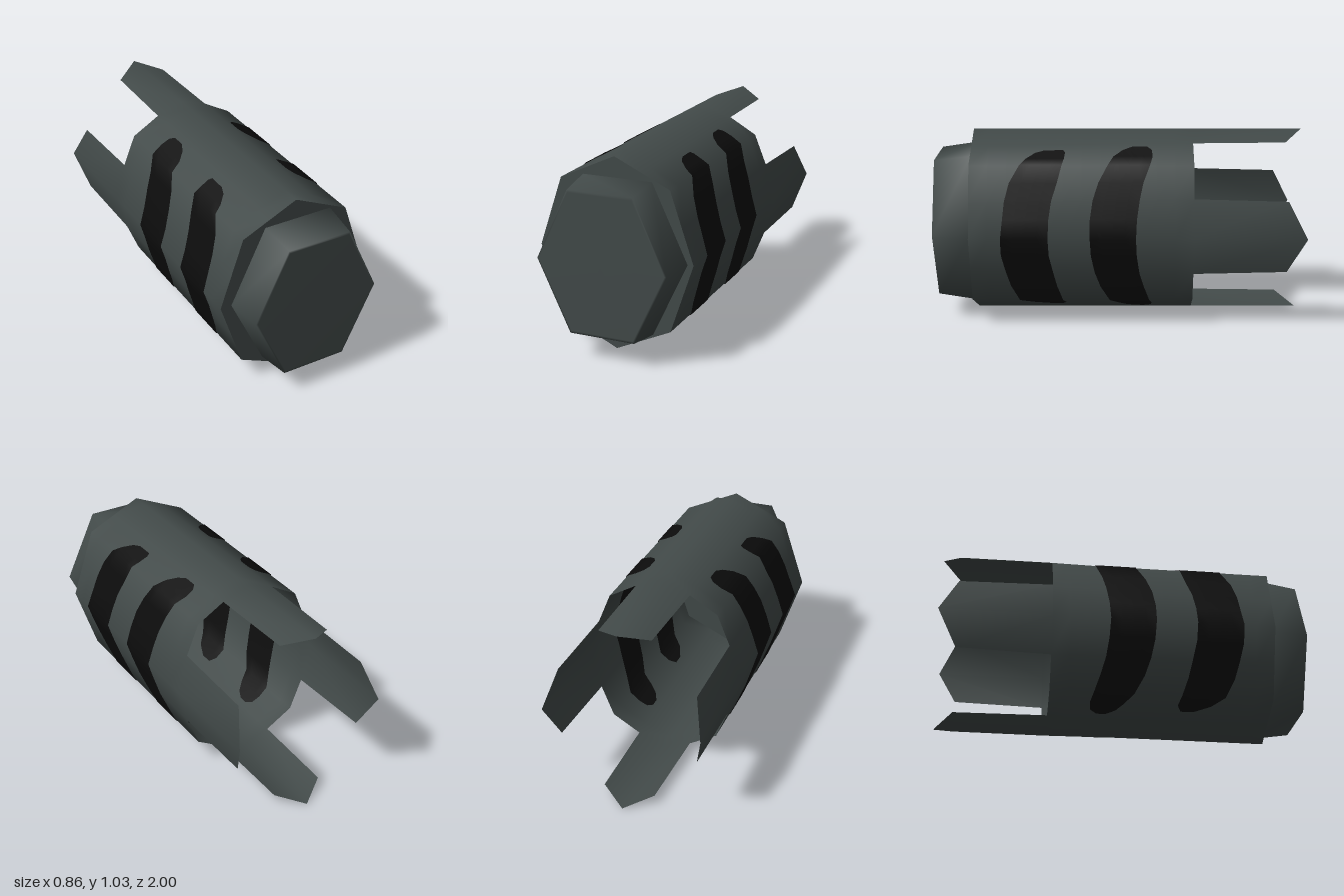
import * as THREE from 'three';
import { mergeGeometries, mergeVertices } from 'three/addons/utils/BufferGeometryUtils.js';

const CY = 0.515; // height of the long axis

// One quarter of the hull section; odd points bulge out slightly toward the rear
const QUARTER = [[0, 0.515], [0.15, 0.463], [0.302, 0.375], [0.37, 0.207], [0.428, 0]];

function corner(k) {
  k = ((k % 16) + 16) % 16;
  if (k <= 4) return [...QUARTER[k]];
  if (k <= 8) { const [x, y] = QUARTER[8 - k]; return [x, -y]; }
  const [x, y] = corner(16 - k);
  return [-x, y];
}

// Section point k at depth z: a plain octagon in front, sixteen sides at the rear
function sectionPoint(k, z) {
  const p = corner(k);
  if (k % 2 === 0) return p;
  const a = corner(k - 1), b = corner(k + 1);
  const t = THREE.MathUtils.clamp((0.8 - z) / 1.2, 0, 1);
  return p.map((v, i) => THREE.MathUtils.lerp((a[i] + b[i]) / 2, v, t));
}

// Point on the hull at section parameter s, scaled about the axis
function hullPoint(s, z, scale = 1) {
  const k = Math.floor(s), a = sectionPoint(k, z), b = sectionPoint(k + 1, z);
  const [x, y] = a.map((v, i) => THREE.MathUtils.lerp(v, b[i], s - k) * scale);
  return [x, CY + y, z];
}

// Indexed surface through rows of points
function surface(rows, closed = false) {
  const n = rows[0].length, index = [];
  for (let j = 0; j < rows.length - 1; j++) {
    for (let i = 0; i < (closed ? n : n - 1); i++) {
      const a = j * n + i, b = j * n + (i + 1) % n;
      index.push(a, b, a + n, b, b + n, a + n);
    }
  }
  const geo = new THREE.BufferGeometry();
  geo.setAttribute('position', new THREE.Float32BufferAttribute(rows.flat(2), 3));
  geo.setIndex(index);
  geo.computeVertexNormals();
  return geo;
}

// Each row: section parameter, front z, back z
const STRIPES = [
  [[1.28, 0.4, 0.3], [1.4, 0.45, 0.29], [1.7, 0.5, 0.295], [2, 0.53, 0.305], [2.5, 0.585, 0.33],
    [3, 0.61, 0.36], [3.5, 0.62, 0.375], [4, 0.63, 0.378], [4.5, 0.63, 0.375], [5, 0.61, 0.355],
    [5.5, 0.585, 0.335], [6, 0.54, 0.305], [6.4, 0.47, 0.29], [6.65, 0.38, 0.31]],
  [[1.15, -0.07, -0.15], [1.3, -0.02, -0.175], [1.6, 0.03, -0.18], [2, 0.06, -0.165], [2.5, 0.11, -0.13],
    [3, 0.14, -0.11], [3.5, 0.155, -0.095], [4, 0.155, -0.09], [4.5, 0.15, -0.095], [5, 0.13, -0.11],
    [5.5, 0.1, -0.135], [6, 0.05, -0.165], [6.4, 0.005, -0.18], [6.7, -0.04, -0.175], [6.85, -0.09, -0.14]],
];

function stripeGeometry(stripe, side, scale) {
  return surface(stripe.map(([s, front, back]) => {
    const row = [];
    for (let i = 0; i <= 4; i++) {
      const [x, y, z] = hullPoint(s, THREE.MathUtils.lerp(back, front, i / 4), scale);
      row.push([x * side, y, z]);
    }
    return side > 0 ? row : row.reverse();
  }));
}

export function createModel() {
  const group = new THREE.Group();
  const grey = new THREE.MeshStandardMaterial({ color: 0x424a49, side: THREE.DoubleSide });
  grey.name = 'dark grey';
  const black = new THREE.MeshStandardMaterial({ color: 0x0c0c0c, side: THREE.DoubleSide });
  black.name = 'black';
  const add = (name, geo, mat) => {
    const mesh = new THREE.Mesh(geo, mat);
    mesh.name = name;
    group.add(mesh);
  };

  // Open tube
  const rings = [];
  for (let j = 0; j <= 12; j++) {
    const ring = [];
    for (let k = 0; k < 16; k++) ring.push(hullPoint(k, 0.8 - j * 0.1));
    rings.push(ring);
  }
  const parts = [surface(rings, true)];

  // Four pointed tabs continuing the tube at the rear
  for (const c of [0, 4, 8, 12]) {
    const root = [c - 1, c, c + 1].map(k => hullPoint((k + 16) % 16, -0.4));
    const mid = root[1];
    const tip = root.map((p, i) => i === 1 ? [p[0], p[1], -1]
      : [THREE.MathUtils.lerp(p[0], mid[0], 0.06), THREE.MathUtils.lerp(p[1], mid[1], 0.06), -0.9]);
    // match the tube's last ring exactly so the seam stays smooth
    root.forEach(p => { p[2] = rings[12][0][2]; });
    parts.push(surface([root, tip]));
  }
  parts.forEach(g => g.deleteAttribute('normal'));
  const hull = mergeVertices(mergeGeometries(parts), 1e-4);
  hull.computeVertexNormals();
  add('hull', hull, grey);

  // Flat front plate
  const outline = [];
  for (let k = 14; k >= 0; k -= 2) outline.push(new THREE.Vector2(...corner(k)));
  const plate = new THREE.ShapeGeometry(new THREE.Shape(outline));
  plate.translate(0, CY, 0.8);
  add('frontPlate', plate, grey);

  // Tapered six-sided nose with soft shading across its rim
  const noseRing = (w, h, z) => [[-0.5, 1], [0.5, 1], [1, 0], [0.5, -1], [-0.5, -1], [-1, 0]]
    .map(([x, y]) => [0.015 + x * w, CY + y * h, z]);
  add('nose', surface([
    noseRing(0, 0, 1), noseRing(0.345, 0.365, 1), noseRing(0.355, 0.378, 0.998), noseRing(0.381, 0.405, 0.8),
  ], true), grey);

  // Curved stripes on both flanks, showing outside and inside the wall
  STRIPES.forEach((stripe, i) => {
    for (const side of [1, -1]) {
      const where = (i ? 'rear' : 'front') + (side > 0 ? 'Left' : 'Right');
      add(where + 'Stripe', stripeGeometry(stripe, side, 1.009), black);
      add(where + 'StripeInside', stripeGeometry(stripe, side, 0.991), black);
    }
  });
  return group;
}
